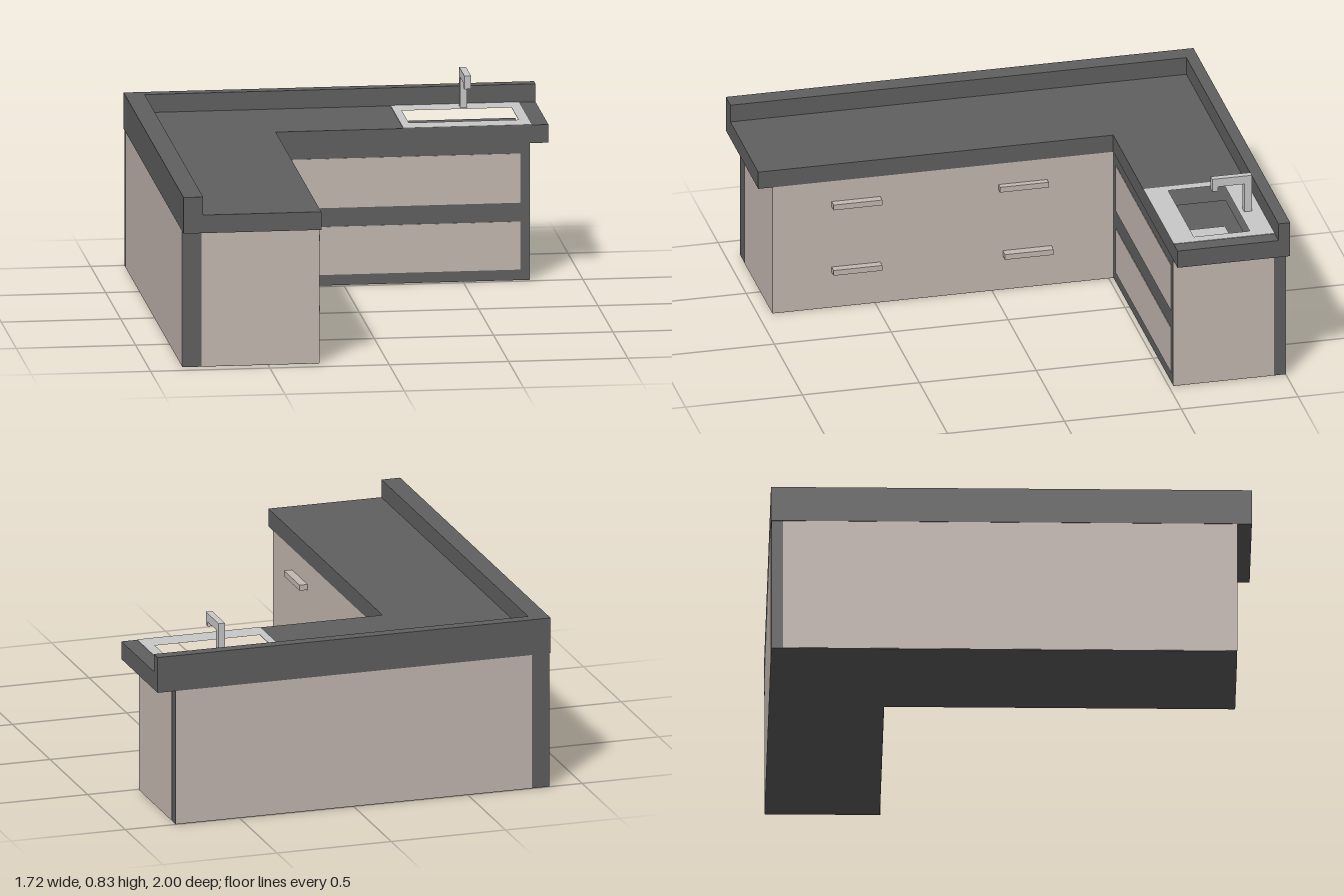
import * as THREE from 'three';

const flat = (name, color) => {
  const m = new THREE.MeshStandardMaterial({ color });
  m.name = name;
  return m;
};

export function createModel() {
  const dark = flat('dark grey worktop', 0x606060);
  const beige = flat('beige panel', 0xc5b9b2);
  const steel = flat('light steel', 0xc9c9c9);
  const model = new THREE.Group();
  model.name = 'cornerKitchenCounter';

  const add = (name, geometry, material, parent = model) => {
    const mesh = new THREE.Mesh(geometry, material);
    mesh.name = name;
    parent.add(mesh);
    return mesh;
  };
  // Box given by its limits on each axis
  const box = (name, material, [x0, x1], [y0, y1], [z0, z1], parent) => {
    const g = new THREE.BoxGeometry(x1 - x0, y1 - y0, z1 - z0);
    g.translate((x0 + x1) / 2, (y0 + y1) / 2, (z0 + z1) / 2);
    return add(name, g, material, parent);
  };
  // Floor plan outline of [x, z] points raised from y0 to y1, with an optional hole
  const toPoints = (plan) => plan.map(([x, z]) => new THREE.Vector2(x, -z));
  const raise = (name, material, plan, y0, y1, hole, parent) => {
    const shape = new THREE.Shape(toPoints(plan));
    if (hole) shape.holes.push(new THREE.Path(toPoints(hole)));
    const g = new THREE.ExtrudeGeometry(shape, { depth: y1 - y0, bevelEnabled: false });
    g.rotateX(-Math.PI / 2).translate(0, y0, 0);
    return add(name, g, material, parent);
  };
  const rect = (x0, x1, z0, z1) => [[x0, z0], [x1, z0], [x1, z1], [x0, z1]];
  // L plan: back run from x0 to x1, left run from z0 to z1, inner corner at (xi, zi)
  const ell = (x0, x1, z0, z1, xi, zi) =>
    [[x0, z0], [x1, z0], [x1, zi], [xi, zi], [xi, z1], [x0, z1]];

  const inX = -0.285, inZ = -0.518, t = 0.002;
  const floorY = 0.46, under = 0.583, top = 0.66;
  const basin = rect(0.285, 0.745, -0.855, -0.615);
  const basinOuter = rect(0.277, 0.753, -0.863, -0.607);

  // Cabinet carcass, hollowed in its upper part for the basin
  const plan = ell(-0.86 + t, 0.78 - t, -1 + t, 0.94 - t, inX - t, inZ - t);
  raise('carcassLower', dark, plan, 0, floorY);
  raise('carcassUpper', dark, plan, floorY, under, basinOuter);

  // Beige cladding on the outer faces, leaving dark corner strips
  const full = [t, under];
  box('backPanel', beige, [-0.78, 0.78], full, [-1, -1 + t]);
  box('leftPanel', beige, [-0.86, -0.86 + t], full, [-0.95, 0.94]);
  box('endPanel', beige, [-0.78, inX], full, [0.94 - t, 0.94]);
  box('rightPanel', beige, [0.78 - t, 0.78], full, [-0.95, inZ]);
  box('drawerFace', beige, [inX - t, inX], full, [inZ - t, 0.94]);

  // Two long fronts below the sink
  for (const y of [[0.045, 0.25], [0.33, 0.54]])
    box('sinkCabinetFront', beige, [-0.24, 0.74], y, [inZ - t, inZ]);

  // Handles on the left run: reach in x, centre y, centre z
  for (const [x, y, z] of [
    [-0.25, 0.477, 0.582], [-0.257, 0.475, -0.132],
    [-0.25, 0.175, 0.582], [-0.245, 0.168, -0.15],
  ]) box('handle', beige, [inX, x], [y - 0.012, y + 0.012], [z - 0.104, z + 0.104]);

  // Worktop and upstand along the two walls
  raise('worktop', dark, ell(-0.862, 0.858, -1, 1, inX, inZ), under, top, basinOuter);
  raise('upstand', dark, ell(-0.862, 0.858, -1, 1, -0.78, -0.95), top, 0.737);

  // Sink: rim, basin walls and floor
  const sink = new THREE.Group();
  sink.name = 'sink';
  model.add(sink);
  raise('sinkRim', steel, rect(0.25, 0.79, -0.95, inZ), top, top + t, basin, sink);
  raise('basinWalls', steel, basinOuter, floorY, top, basin, sink);
  box('basinFloor', steel, [0.28, 0.75], [floorY, floorY + 0.006], [-0.86, -0.61], sink);

  // Tap: post, spout and outlet in one bent profile
  const profile = new THREE.Shape([
    [-0.908, top], [-0.875, top], [-0.875, 0.79], [-0.762, 0.79],
    [-0.762, 0.77], [-0.738, 0.77], [-0.738, 0.827], [-0.908, 0.827],
  ].map(([z, y]) => new THREE.Vector2(-z, y)));
  const tap = new THREE.ExtrudeGeometry(profile, { depth: 0.028, bevelEnabled: false });
  tap.rotateY(Math.PI / 2).translate(0.533, 0, 0);
  add('tap', tap, steel, sink);

  return model;
}
